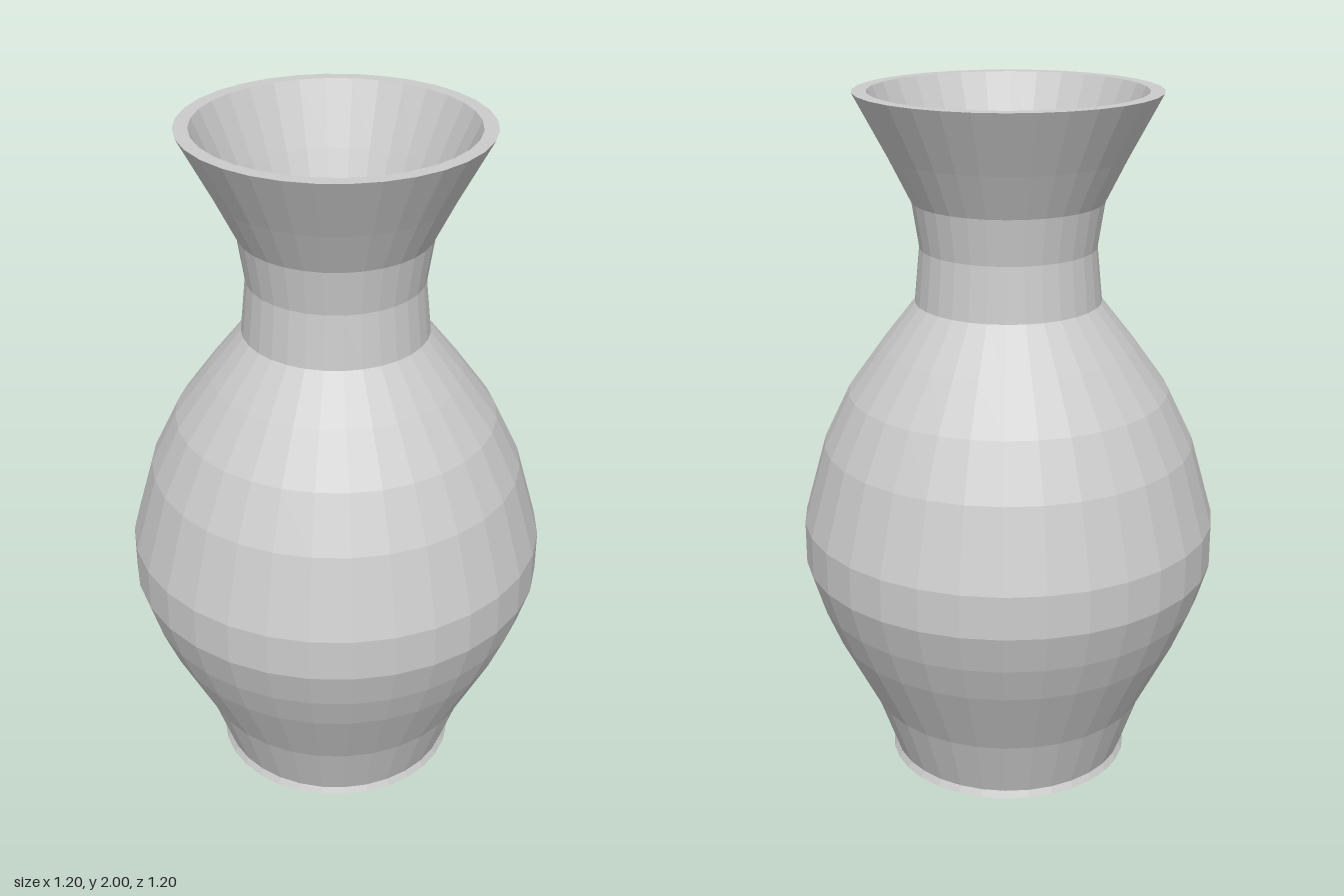
import * as THREE from 'three';

const SIDES = 32;

export function createModel() {
  const model = new THREE.Group();
  model.name = 'vase';
  const material = new THREE.MeshStandardMaterial({ color: 0xcccccc, flatShading: true });

  // Each profile is a list of [radius, height] pairs
  const addLathe = (name, profile) => {
    const points = profile.map(([r, y]) => new THREE.Vector2(r, y));
    const mesh = new THREE.Mesh(new THREE.LatheGeometry(points, SIDES), material);
    mesh.name = name;
    model.add(mesh);
  };

  // Base, foot lip, belly, neck and flared mouth
  addLathe('outerBody', [
    [0, 0], [0.357, 0], [0.347, 0.02], [0.41, 0.2], [0.465, 0.31], [0.52, 0.42],
    [0.565, 0.53], [0.6, 0.645], [0.6, 0.77], [0.535, 1.0], [0.46, 1.155],
    [0.363, 1.29], [0.265, 1.415], [0.25, 1.57], [0.27, 1.7], [0.332, 1.825], [0.425, 2],
  ]);

  // Flat ring around the mouth
  addLathe('rim', [[0.425, 2], [0.385, 2]]);

  // Hollow inside, from the mouth down to the floor
  addLathe('innerWall', [
    [0.385, 2], [0.305, 1.825], [0.252, 1.7], [0.242, 1.57], [0.238, 1.43],
    [0.33, 1.28], [0.42, 1.15], [0.495, 1.0], [0.56, 0.77], [0.56, 0.645],
    [0.48, 0.42], [0.37, 0.2], [0.32, 0.05], [0, 0.05],
  ]);

  return model;
}
